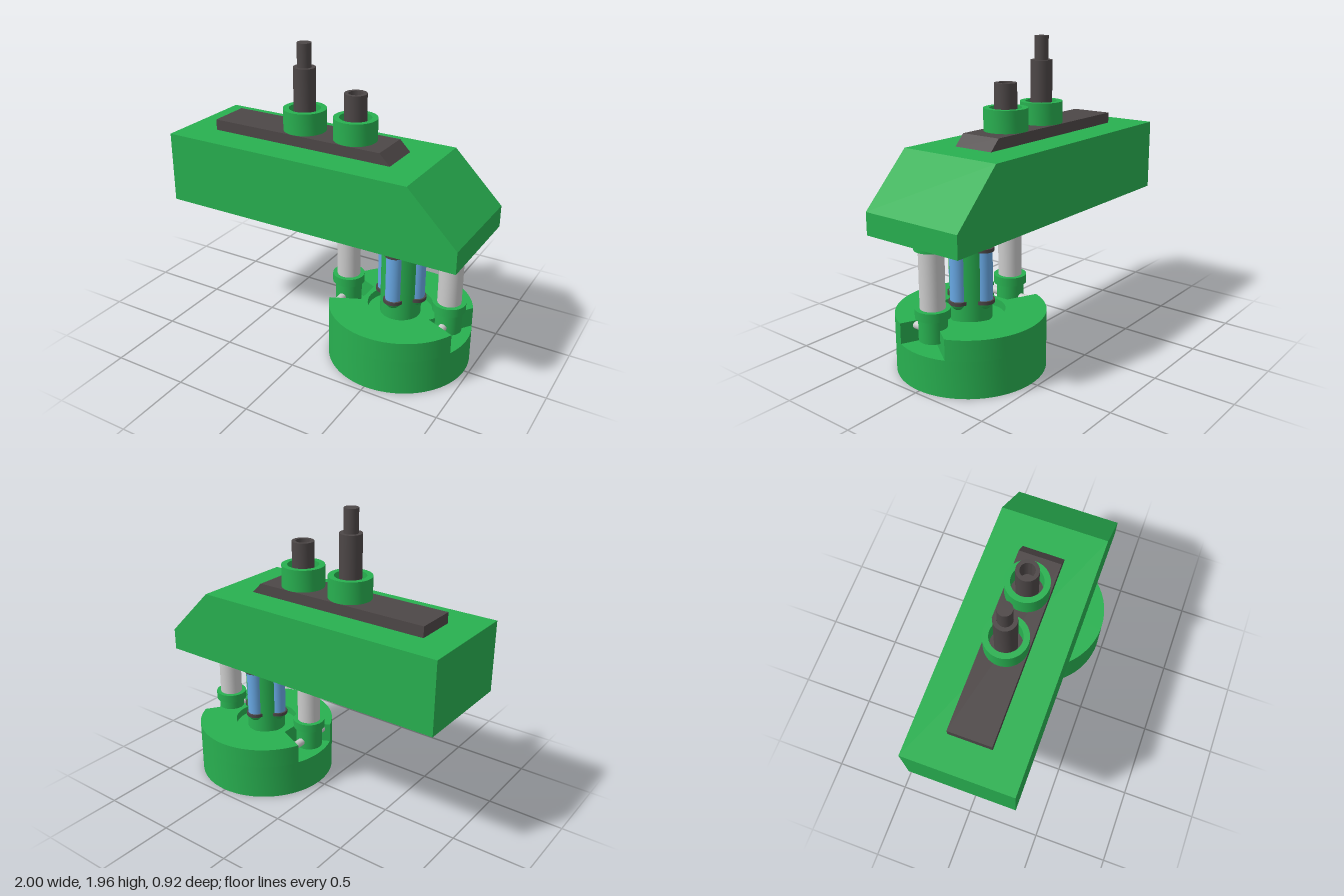
import * as THREE from 'three';
import { toCreasedNormals } from 'three/addons/utils/BufferGeometryUtils.js';

const mat = (color) => new THREE.MeshStandardMaterial({ color });
const green = mat(0x28b050);
const dark = mat(0x4d4747);
const blue = mat(0x68a8e4);
const grey = mat(0xcccccc);

const HEAD_X = 0.51;

function add(parent, name, geometry, material, x = 0, y = 0, z = 0) {
  const mesh = new THREE.Mesh(geometry, material);
  mesh.name = name;
  mesh.position.set(x, y, z);
  parent.add(mesh);
  return mesh;
}

// Upright cylinder between two heights
function post(parent, name, r, y0, y1, material, x = 0, z = 0) {
  return add(parent, name, new THREE.CylinderGeometry(r, r, y1 - y0, 32), material, x, (y0 + y1) / 2, z);
}

// Revolved profile with sharp edges
function lathe(points, segments = 40) {
  const profile = points.map(([r, y]) => new THREE.Vector2(r, y));
  return toCreasedNormals(new THREE.LatheGeometry(profile, segments), 0.5);
}

// Upright tube, open at the top down to the given floor height
const cup = (outer, inner, y0, y1, floor) =>
  lathe([[outer, y0], [outer, y1], [inner, y1], [inner, floor], [0, floor]]);

// Side profile extruded across z, centred
function slab(points, depth) {
  const shape = new THREE.Shape(points.map(([x, y]) => new THREE.Vector2(x, y)));
  return new THREE.ExtrudeGeometry(shape, { depth, bevelEnabled: false }).translate(0, 0, -depth / 2);
}

// Upper half of the round head: a disc with two tapered notches and a bore
function notchedDisc() {
  const r = 0.46, a = Math.asin(0.175 / r), inner = 0.24, half = 0.09;
  const shape = new THREE.Shape();
  shape.moveTo(inner, half);
  shape.absarc(0, 0, r, a, Math.PI - a, false);
  shape.lineTo(-inner, half);
  shape.lineTo(-inner, -half);
  shape.absarc(0, 0, r, Math.PI + a, 2 * Math.PI - a, false);
  shape.lineTo(inner, -half);
  shape.closePath();
  const bore = new THREE.Path();
  bore.absarc(0, 0, 0.21, 0, Math.PI * 2, true);
  shape.holes.push(bore);
  const geometry = new THREE.ExtrudeGeometry(shape, { depth: 0.13, bevelEnabled: false, curveSegments: 32 });
  geometry.rotateX(-Math.PI / 2);
  return toCreasedNormals(geometry, 0.4);
}

function createHead() {
  const head = new THREE.Group();
  head.name = 'head';
  head.position.x = HEAD_X;
  add(head, 'headBase', lathe([[0.365, 0.07], [0.365, 0], [0.46, 0], [0.46, 0.23], [0, 0.23]], 64), green);
  add(head, 'headTop', notchedDisc(), green, 0, 0.23);
  post(head, 'boreFloor', 0.212, 0.23, 0.31, green);
  post(head, 'lens', 0.366, 0.07, 0.09, blue);
  return head;
}

// Central column with four capsule tubes around it
function createColumn() {
  const column = new THREE.Group();
  column.name = 'column';
  column.position.x = HEAD_X;
  post(column, 'columnCore', 0.13, 0.3, 0.89, green);
  for (let i = 0; i < 4; i++) {
    const x = 0.107 * Math.sin(i * Math.PI / 2), z = 0.107 * Math.cos(i * Math.PI / 2);
    post(column, 'glassTube', 0.053, 0.44, 0.765, blue, x, z);
    for (const y of [0.43, 0.755]) post(column, 'tubeBand', 0.064, y, y + 0.022, dark, x, z);
    for (const y of [0.44, 0.768]) add(column, 'tubeCap', new THREE.SphereGeometry(0.054, 24, 16), green, x, y, z);
  }
  return column;
}

// Piston leg with collars, knuckle and cross pin
function createPiston(x) {
  const piston = new THREE.Group();
  piston.name = 'piston';
  piston.position.x = x;
  post(piston, 'topCollar', 0.1, 0.83, 0.89, green);
  post(piston, 'rod', 0.075, 0.45, 0.85, grey);
  post(piston, 'lowerCollar', 0.104, 0.42, 0.475, green);
  post(piston, 'knuckle', 0.086, 0.28, 0.43, green);
  const pin = post(piston, 'pin', 0.025, 0, 0.29, grey);
  pin.rotation.x = Math.PI / 2;
  pin.position.y = 0.33;
  return piston;
}

// Dark pipe standing in a green ring
function createPipe(x, top) {
  const pipe = new THREE.Group();
  pipe.name = 'pipe';
  pipe.position.x = x;
  add(pipe, 'pipeSocket', lathe([[0.1, 1.4], [0.137, 1.4], [0.137, 1.55], [0.1, 1.55], [0.1, 1.4]]), green);
  add(pipe, 'pipeTube', cup(0.07, 0.046, 1.4, top, top - 0.15), dark);
  return pipe;
}

export function createModel() {
  const model = new THREE.Group();
  model.name = 'machine';

  // Main arm with its sloped nose, and the mounting plate on top
  add(model, 'arm', slab([[-1, 0.88], [1, 0.88], [1, 1.02], [0.68, 1.34], [-1, 1.34]], 0.7), green);
  add(model, 'topPlate', slab([[-0.79, 1.335], [0.475, 1.335], [0.40, 1.41], [-0.79, 1.41]], 0.275), dark);

  // Pipes, the taller one with an inner rod
  const tall = createPipe(-0.195, 1.81);
  post(tall, 'innerRod', 0.045, 1.6, 1.96, dark);
  model.add(tall, createPipe(0.165, 1.7));

  model.add(createHead(), createColumn(), createPiston(0.13), createPiston(0.84));
  return model;
}
